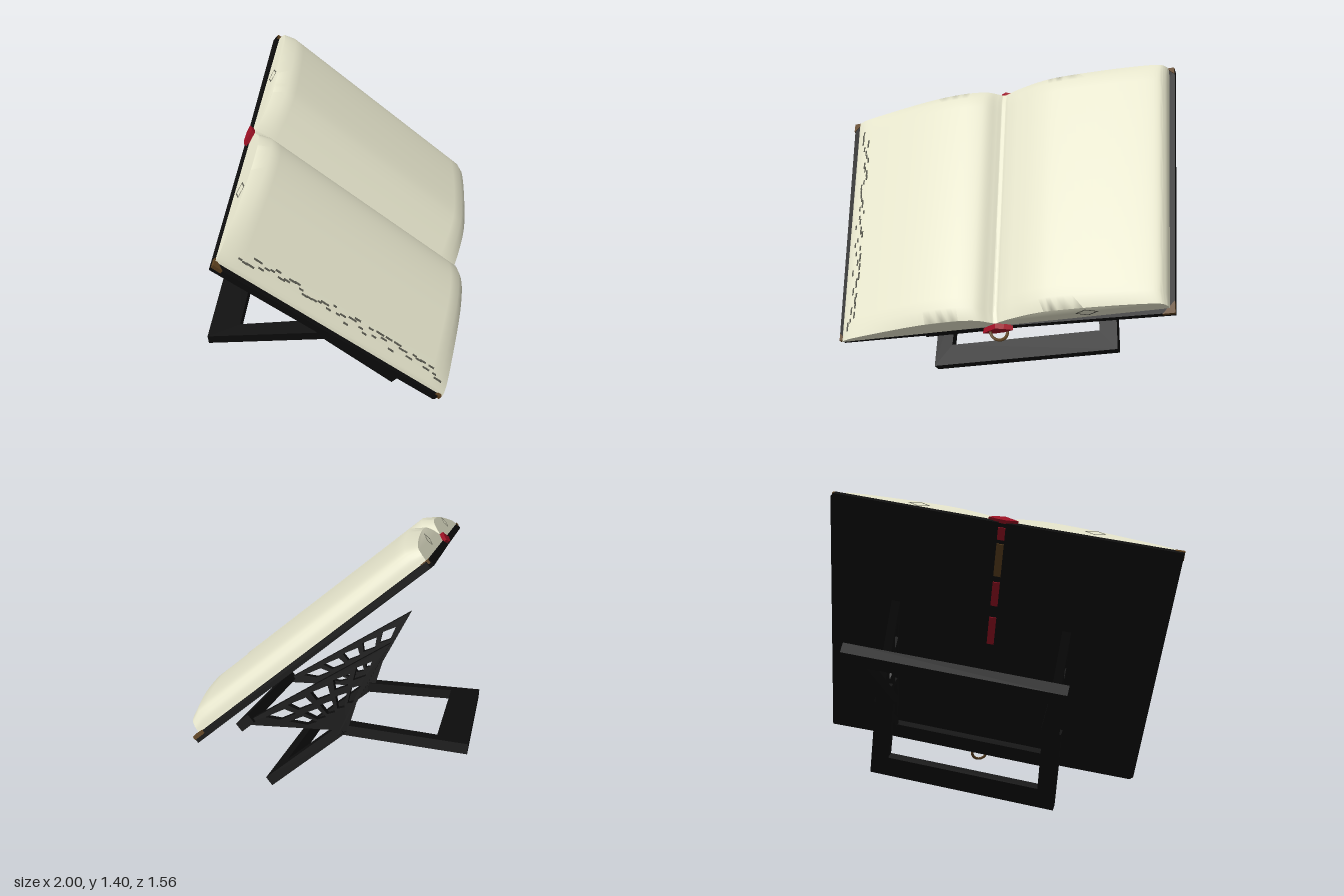
import * as THREE from 'three';
import { toCreasedNormals } from 'three/addons/utils/BufferGeometryUtils.js';

const mat = (name, color) => {
  const m = new THREE.MeshStandardMaterial({ color });
  m.name = name;
  return m;
};

export function createModel() {
  const paper = mat('cream paper', 0xe5e4cb);
  const black = mat('black', 0x0d0d0d);
  const red = mat('red ribbon', 0x9c1024);
  const gold = mat('dull gold', 0x5e4220);
  const grey = mat('grey mark', 0x5a5a50);

  // Inside the tilted group: x runs across the book, y up the page, z out of the page
  const book = new THREE.Group();
  book.name = 'bookOnStand';
  const add = (name, geo, material, x = 0, y = 0, z = 0) => {
    const m = new THREE.Mesh(geo, material);
    m.name = name;
    m.position.set(x, y, z);
    book.add(m);
    return m;
  };
  const box = (x, y, z) => new THREE.BoxGeometry(x, y, z);
  const poly = (pts) => new THREE.Shape(pts.map(([x, y]) => new THREE.Vector2(x, y)));
  const extrude = (shape, depth, steps = 1) => new THREE.ExtrudeGeometry(shape, { depth, steps, bevelEnabled: false });

  // Open page block: one cross-section swept down the page, wider at the top, softened at both ends
  const profile = new THREE.SplineCurve([
    [-0.785, 0], [-0.765, 0.02], [-0.685, 0.05], [-0.39, 0.118], [-0.2, 0.134], [-0.08, 0.11],
    [-0.025, 0.062], [0, 0.04], [0.03, 0.056], [0.09, 0.085], [0.2, 0.122], [0.315, 0.133],
    [0.55, 0.116], [0.73, 0.085], [0.775, 0.05], [0.785, 0],
  ].map(([x, y]) => new THREE.Vector2(x, y))).getPoints(90).reverse();
  const pages = extrude(new THREE.Shape(profile), 1.2, 24).rotateX(Math.PI / 2).translate(0, 0.6, 0);
  const flare = (y) => 1 + 0.045 * y;
  const pos = pages.attributes.position;
  for (let i = 0; i < pos.count; i++) {
    const y = pos.getY(i);
    pos.setX(i, pos.getX(i) * flare(y));
    if (Math.abs(y) > 0.599) pos.setZ(i, pos.getZ(i) * 0.75);
  }
  add('pages', toCreasedNormals(pages, 1.0), paper);

  // Worn flecks along the left page edge
  let seed = 7;
  const rand = () => (seed = (seed * 16807) % 2147483647) / 2147483647;
  for (let i = 0; i < 44; i++) {
    const x = -0.745 + 0.05 * rand(), y = -0.54 + i * 0.0245;
    const fleck = add('edgeFleck', box(0.008, 0.015 + 0.03 * rand(), 0.004), grey, x * flare(y), y, 0.031 + (x + 0.745) * 0.34);
    fleck.rotation.y = -0.34;
  }

  // Cover boards, slightly splayed toward the top
  const boards = [
    [[-0.832, 0.602], [-0.018, 0.605], [-0.018, -0.602], [-0.765, -0.592], [-0.78, -0.575]],
    [[0.018, 0.605], [0.818, 0.615], [0.832, 0.6], [0.784, -0.622], [0.018, -0.602]],
  ];
  for (const pts of boards) add('coverBoard', extrude(poly(pts), 0.03), black, 0, 0, -0.031);

  // Gold corner tips, each with its reach along the cover edges
  for (const [x, y, r] of [[-0.833, 0.604, 0.045], [0.83, 0.612, 0.035], [0.786, -0.624, 0.055], [-0.778, -0.592, 0.035]]) {
    const pts = [[x, y], [x - Math.sign(x) * r, y], [x, y - Math.sign(y) * r]];
    add('coverCorner', extrude(poly(pts), 0.017), gold, 0, 0, -0.014);
  }

  // Diamond marks on the page ends
  for (const [x, e] of [[-0.42, 1], [0.42, 1], [0.42, -1]]) {
    const mark = add('diamondMark', new THREE.RingGeometry(0.024, 0.031, 4), grey, x, e * 0.603, 0.052);
    mark.rotation.x = -e * Math.PI / 2;
    mark.scale.x = 1.7;
  }

  // Spine with red and gold patches, ribbon tufts and a cord loop
  add('spine', box(0.037, 1.2, 0.016), black, 0, 0, -0.012);
  for (const [y, len, m] of [[0.55, 0.06, red], [0.42, 0.16, gold], [0.25, 0.12, red], [0.06, 0.14, red]]) {
    add('spinePatch', box(0.036, len, 0.008), m, 0, y, -0.022);
  }
  for (const [name, top, depth] of [['upperTuft', 0.618, 0.018], ['lowerTuft', -0.598, 0.026]]) {
    const tuft = poly([[-0.07, 0.002], [-0.02, -0.014], [0.03, -0.01], [0.07, 0.004], [0.035, 0.026], [0, 0.04], [-0.03, 0.024]]);
    add(name, extrude(tuft, depth).rotateX(Math.PI / 2), red, 0, top, -0.01);
  }
  const loop = add('cordLoop', new THREE.TorusGeometry(0.038, 0.007, 6, 20), gold, 0, -0.62, -0.02);
  loop.rotation.y = 0.5;

  // Stand leg: a flat open frame from one (y, z) point to another, open at the hinge end
  const leg = (name, half0, half1, from, to, foot) => {
    const a = new THREE.Vector3(0, ...from);
    const dir = new THREE.Vector3(0, ...to).sub(a);
    const len = dir.length();
    dir.normalize();
    const inner = len - foot, side = 0.085;
    const shape = poly([
      [-half0, 0], [side - half0, 0], [side - half1, inner], [half1 - side, inner],
      [half0 - side, 0], [half0, 0], [half1, len], [-half1, len],
    ]);
    const x = new THREE.Vector3(1, 0, 0);
    const mesh = add(name, extrude(shape, 0.045).translate(0, 0, -0.0225), black);
    mesh.quaternion.setFromRotationMatrix(new THREE.Matrix4().makeBasis(x, dir, x.clone().cross(dir)));
    mesh.position.copy(a);
  };
  const hinge = [-0.21, -0.38], top = [0.19, -0.2], low = [-0.54, -0.1];
  leg('frontLeg', 0.44, 0.45, hinge, [-0.62, -0.375], 0.1);
  leg('rearLeg', 0.43, 0.485, hinge, [0.2, -0.76], 0.14);

  // Carved side bracket: a triangle with fan-shaped openings spreading from the hinge
  const fan = (u, r) => [0, 1].map((d) => hinge[d] + r * (top[d] + (low[d] - top[d]) * u - hinge[d]));
  const bracket = poly([fan(-0.02, 1), fan(1.02, 1), fan(1.1, -0.06), fan(-0.1, -0.06)]);
  for (let i = 0; i < 5; i++) {
    const a = 0.07 + i * 0.176, b = a + 0.13;
    for (const [r0, r1] of [[0.36, 0.62], [0.69, 0.91]]) {
      bracket.holes.push(poly([fan(a, r0), fan(b, r0 + 0.04), fan(b, r1), fan(a, r1 - 0.04)]));
    }
  }
  // Shape axes (y, z) are turned so the plate stands across x
  const toSide = new THREE.Matrix4().set(0, 0, 1, 0, 1, 0, 0, 0, 0, 1, 0, 0, 0, 0, 0, 1);
  for (const x of [-0.4, 0.41]) {
    add('sideBracket', extrude(bracket, 0.04).applyMatrix4(toSide), black, x, 0, 0);
  }
  add('frontRail', box(0.87, 0.07, 0.045), black, 0.04, low[0] + 0.01, low[1]);

  // Tilt everything as one piece
  const u = new THREE.Vector3(0.852, 0.24, -0.465).normalize();
  const n = u.clone().cross(new THREE.Vector3(-0.507, 0.63, -0.589)).normalize();
  const w = n.clone().cross(u);
  book.quaternion.setFromRotationMatrix(new THREE.Matrix4().makeBasis(u, w, n));
  book.position.set(0.0125, 0.7875, 0.066);

  const root = new THREE.Group();
  root.name = 'openBookStand';
  root.add(book);
  return root;
}
